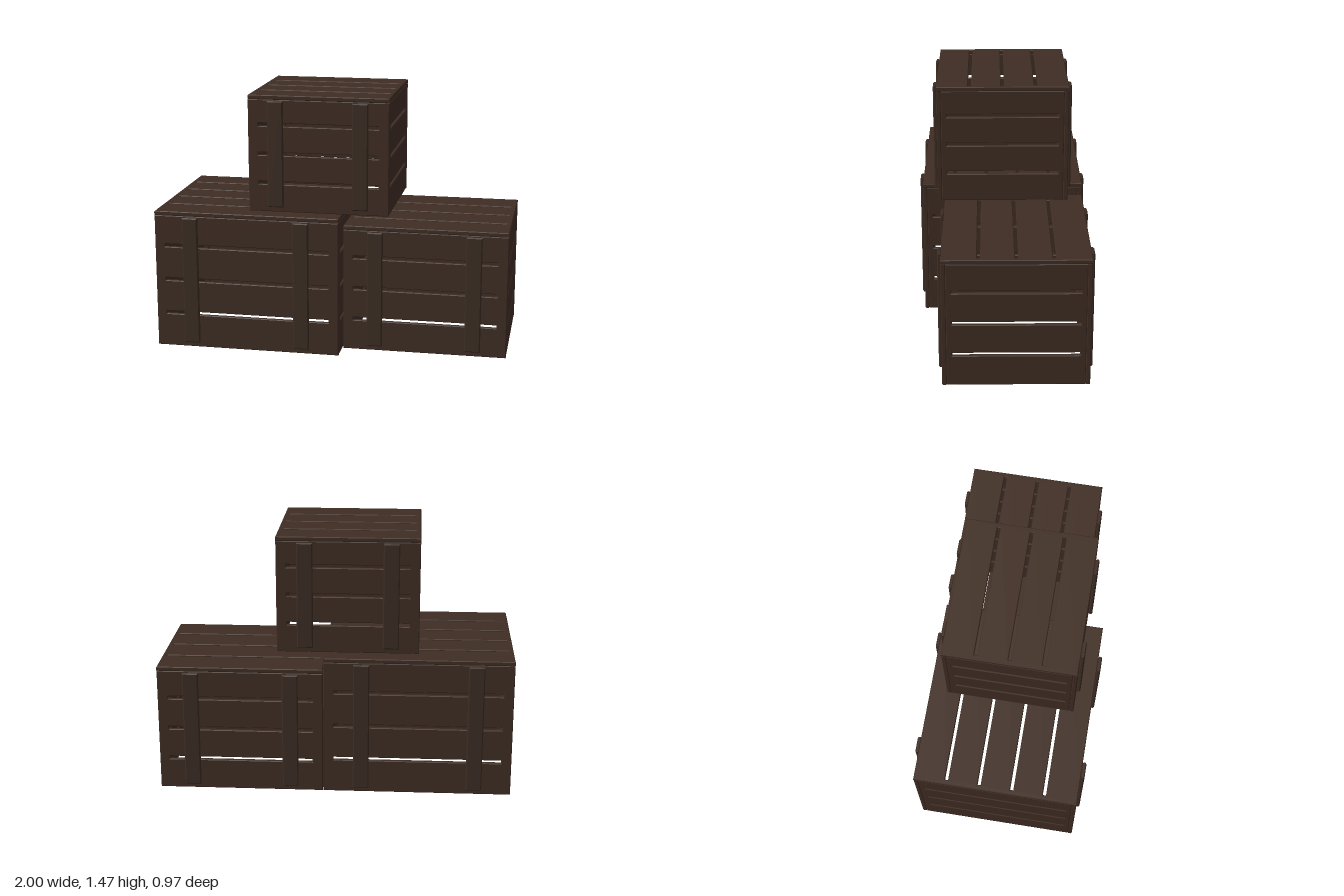
import * as THREE from 'three';

const wood = new THREE.MeshStandardMaterial({ color: 0x3f2d23 });
wood.name = 'dark brown wood';
const cleatWood = new THREE.MeshStandardMaterial({ color: 0x3c2d23 });
cleatWood.name = 'dark olive wood';

const WALL = 0.025, SLOT = 0.018, CLEAT = 0.022, POST = 0.04;

function rect(target, w, h, cy = 0) {
  target.moveTo(-w / 2, cy - h / 2);
  target.lineTo(w / 2, cy - h / 2);
  target.lineTo(w / 2, cy + h / 2);
  target.lineTo(-w / 2, cy + h / 2);
  target.closePath();
  return target;
}

// Upright board centred on the origin, lying in xy, with horizontal slots cut through
function board(name, w, h, depth, bevel, material, slotYs = [], slotWidth = 0) {
  const shape = rect(new THREE.Shape(), w, h);
  for (const y of slotYs) shape.holes.push(rect(new THREE.Path(), slotWidth, SLOT, y));
  const geometry = new THREE.ExtrudeGeometry(shape, {
    depth: depth - 2 * bevel, bevelEnabled: true, bevelSegments: 1,
    bevelSize: bevel, bevelThickness: bevel, bevelOffset: -bevel,
  });
  geometry.translate(0, 0, bevel - depth / 2);
  const mesh = new THREE.Mesh(geometry, material);
  mesh.name = name;
  return mesh;
}

// Hollow slatted crate, open underneath; its origin is the centre of its base
function crate({ name, min, max, lidSlots, cleatXs }) {
  const [w, h, d] = max.map((v, i) => v - min[i]);
  const group = new THREE.Group();
  group.name = name;
  group.position.set((min[0] + max[0]) / 2, min[1], (min[2] + max[2]) / 2);

  const wallH = h - WALL;
  const wallSlots = [0.25, 0.5, 0.75].map((f) => h * f - wallH / 2);

  // Lid
  const lidZs = Array.from({ length: lidSlots }, (_, i) => d * ((i + 1) / (lidSlots + 1) - 0.5));
  const lid = board('lid', w, d, WALL, 0.004, wood, lidZs, w - 0.055);
  lid.rotation.x = -Math.PI / 2;
  lid.position.y = h - WALL / 2;
  group.add(lid);

  for (const s of [1, -1]) {
    // Front and back walls
    const face = board(s > 0 ? 'frontWall' : 'backWall', w, wallH, WALL, 0.004, wood, wallSlots, w - 0.115);
    face.position.set(0, wallH / 2, s * (d - WALL) / 2);
    group.add(face);

    // End walls, fitted between front and back
    const end = board(s > 0 ? 'leftWall' : 'rightWall', d - 2 * WALL, wallH, WALL, 0.004, wood, wallSlots, d - 0.11);
    end.rotation.y = Math.PI / 2;
    end.position.set(s * (w - WALL) / 2, wallH / 2, 0);
    group.add(end);

    // Upright cleats
    for (const x of cleatXs) {
      const cleat = board('cleat', 0.09, h - 0.06, CLEAT, 0.006, cleatWood);
      cleat.position.set(x - group.position.x, h / 2, s * (d + CLEAT) / 2);
      group.add(cleat);
    }

    // Inner corner posts, clear of the slots
    for (const t of [1, -1]) {
      const post = new THREE.Mesh(new THREE.BoxGeometry(POST - 0.01, wallH - 0.005, POST - 0.01), wood);
      post.name = 'cornerPost';
      post.position.set(s * (w / 2 - WALL - 0.015), wallH / 2 + 0.0025, t * (d / 2 - WALL - 0.015));
      group.add(post);
    }
  }
  return group;
}

export function createModel() {
  const model = new THREE.Group();
  model.name = 'crateStack';
  model.add(
    crate({ name: 'largeCrate', min: [-1, 0, -0.463], max: [0.063, 0.8, 0.463], lidSlots: 4, cleatXs: [-0.79, -0.15] }),
    crate({ name: 'mediumCrate', min: [0.067, 0, -0.463], max: [1, 0.732, 0.333], lidSlots: 3, cleatXs: [0.25, 0.81] }),
    crate({ name: 'topCrate', min: [-0.468, 0.803, -0.364], max: [0.33, 1.466, 0.366], lidSlots: 3, cleatXs: [-0.31, 0.17] }),
  );
  return model;
}
